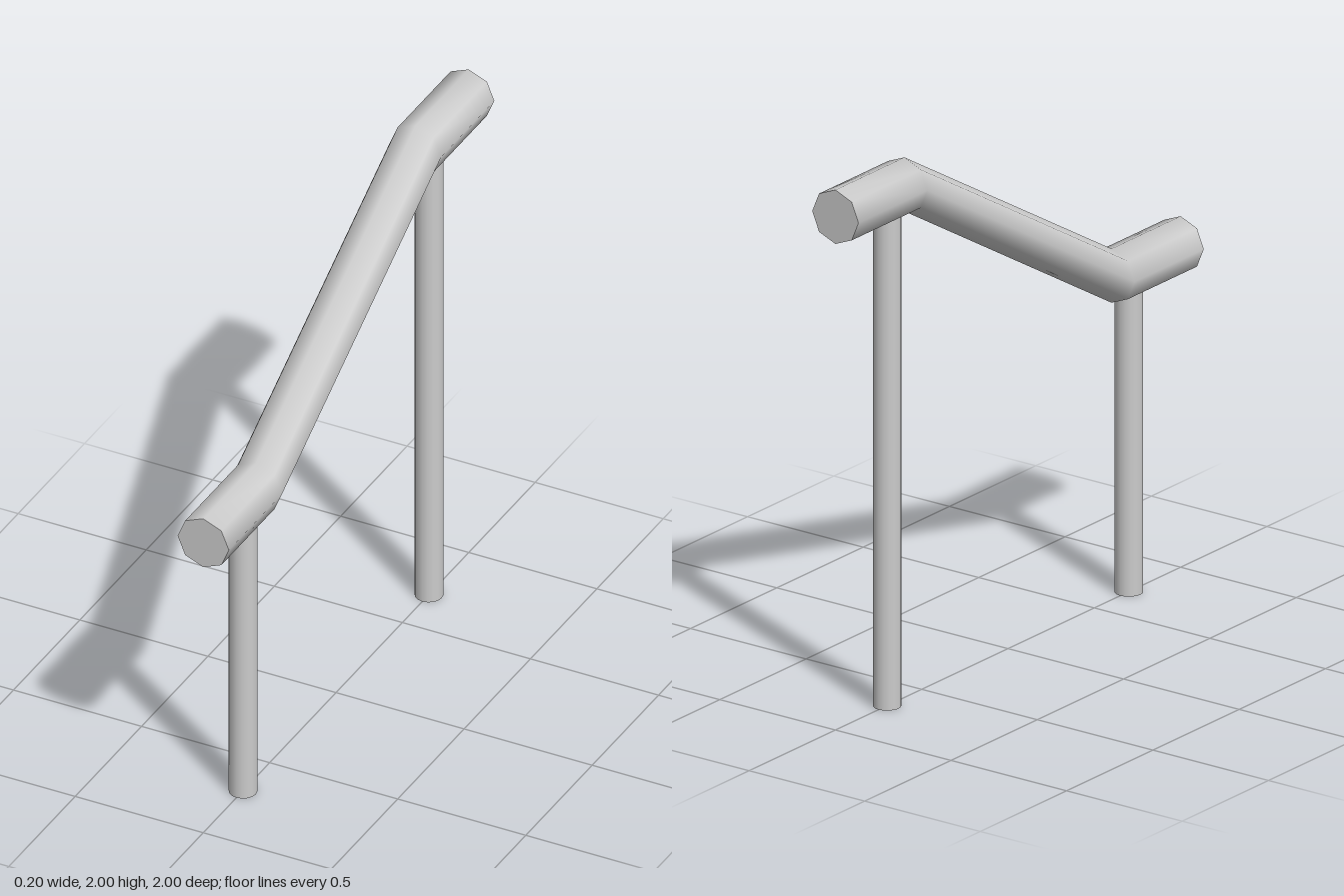
import * as THREE from 'three';
import { toCreasedNormals } from 'three/addons/utils/BufferGeometryUtils.js';

const LOW = 1.2, HIGH = 1.9, BEND = 0.6;

export function createModel() {
  const group = new THREE.Group();
  const material = new THREE.MeshStandardMaterial({ color: 0xcccccc });
  const tubeMaterial = new THREE.MeshStandardMaterial({ color: 0xcccccc, side: THREE.DoubleSide });

  // Handrail: an eight-sided bar along z, its rings lifted into level, slope, level
  const railGeometry = new THREE.CylinderGeometry(0.1, 0.1, 2, 8, 3).rotateX(Math.PI / 2);
  const p = railGeometry.attributes.position;
  for (let i = 0; i < p.count; i++) {
    const z = p.getZ(i);
    p.setY(i, p.getY(i) + (z > 0 ? LOW : HIGH));
    if (Math.abs(z) < 0.9) p.setZ(i, Math.sign(z) * BEND);
  }
  const rail = new THREE.Mesh(toCreasedNormals(railGeometry, Math.PI / 3), material);
  rail.name = 'handrail';
  group.add(rail);

  // Posts: open tubes running up into the level ends of the rail
  for (const [name, z, height] of [['frontPost', 0.7, LOW], ['backPost', -0.7, HIGH]]) {
    const post = new THREE.Mesh(
      new THREE.CylinderGeometry(0.05, 0.05, height, 16, 1, true), tubeMaterial);
    post.name = name;
    post.position.set(0, height / 2, z);
    group.add(post);
  }
  return group;
}
